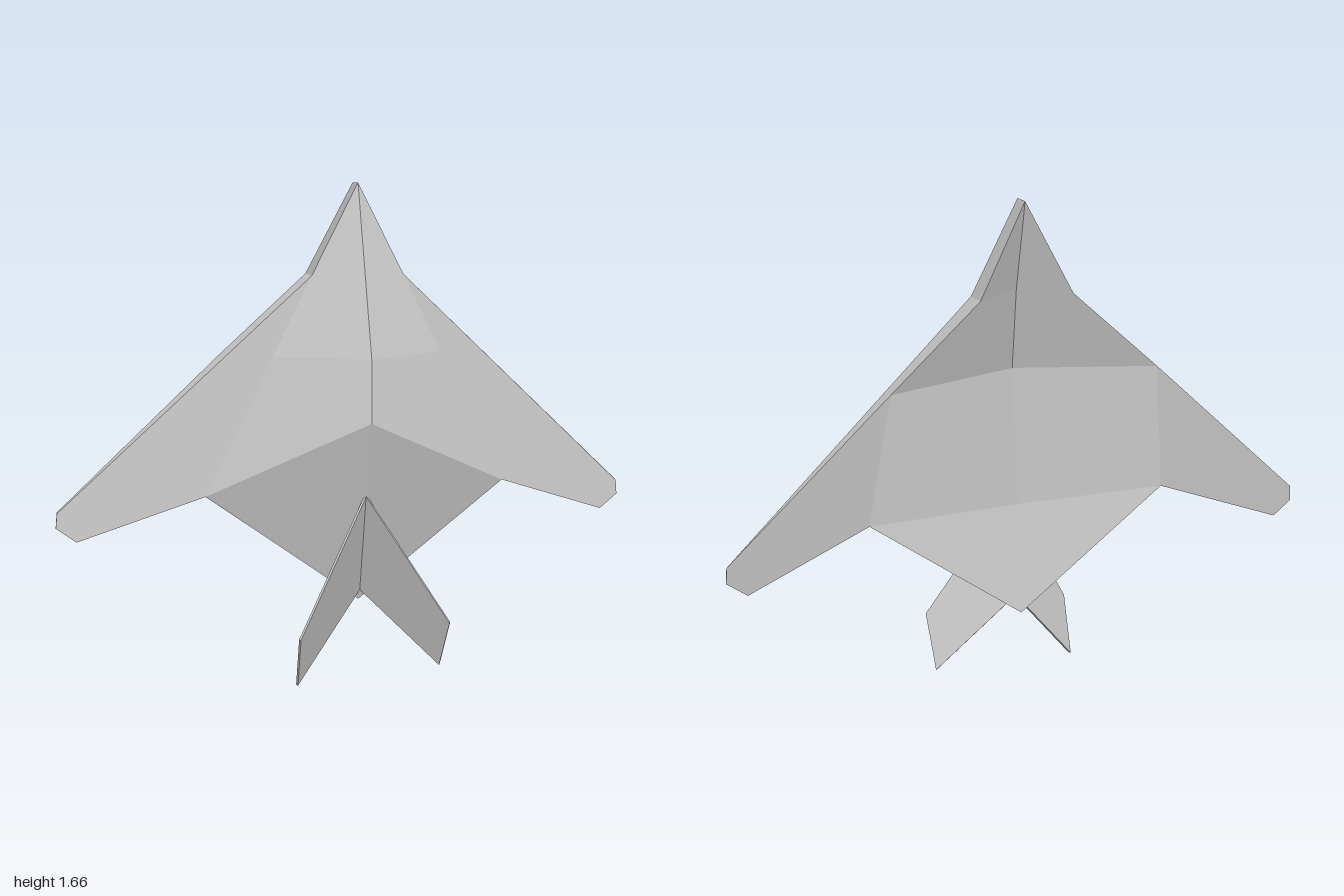
import * as THREE from 'three';

// Thin-edged shell, so both sides are drawn
const material = new THREE.MeshStandardMaterial({ color: 0xcccccc, side: THREE.DoubleSide });

// Faceted mesh from faces that list point names: a triangle fan with one normal per face
function facetMesh(name, points, faces, mirrored) {
  const pos = [], nor = [];
  const addFace = corners => {
    const normal = new THREE.Vector3();
    corners.forEach((p, i) => normal.add(p.clone().cross(corners[(i + 1) % corners.length])));
    normal.normalize();
    for (let i = 1; i < corners.length - 1; i++) {
      for (const p of [corners[0], corners[i], corners[i + 1]]) {
        pos.push(p.x, p.y, p.z);
        nor.push(normal.x, normal.y, normal.z);
      }
    }
  };
  for (const face of faces) {
    const corners = face.split(' ').map(k => new THREE.Vector3(...points[k]));
    addFace(corners);
    if (mirrored) {
      const [first, ...rest] = corners.map(p => new THREE.Vector3(-p.x, p.y, p.z));
      addFace([first, ...rest.reverse()]);
    }
  }
  const geometry = new THREE.BufferGeometry();
  geometry.setAttribute('position', new THREE.Float32BufferAttribute(pos, 3));
  geometry.setAttribute('normal', new THREE.Float32BufferAttribute(nor, 3));
  const mesh = new THREE.Mesh(geometry, material);
  mesh.name = name;
  return mesh;
}

// Left half of the hull; names ending in B lie on the hollow back
const P = {
  nose: [0, 1.663, -0.045], noseB: [0, 1.663, -0.109],
  ridgeTop: [0, 1.1, 0.115], ridgeLow: [0, 0.89, 0.115],
  shoulder: [0.157, 1.363, -0.045], shoulderB: [0.157, 1.365, -0.132],
  fold: [0.29, 1.1, -0.047], leadB: [0.457, 1.097, -0.14],
  kink: [0.52, 0.645, -0.05], kinkB: [0.52, 0.645, -0.074],
  tip: [0.995, 0.6, -0.134], tipB: [0.995, 0.603, -0.14],
  tipLow: [1, 0.55, -0.135], tipLowB: [1, 0.55, -0.14],
  tipEnd: [0.935, 0.5, -0.133], tipEndB: [0.935, 0.5, -0.14],
  tail: [0, 0.26, -0.045], tailB: [0, 0.26, -0.085],
  neckB: [0, 1.37, -0.036], spineB: [0, 1.1, 0], rumpB: [0, 0.64, -0.046],
};

const bodyFaces = [
  // ridged front
  'ridgeTop fold shoulder nose', 'ridgeLow kink fold ridgeTop', 'ridgeLow tail kink',
  // hollow back
  'noseB shoulderB neckB', 'neckB shoulderB leadB spineB',
  'spineB leadB kinkB rumpB', 'rumpB kinkB tailB',
  // edges at nose and tail
  'nose shoulder shoulderB noseB', 'kink tail tailB kinkB',
];

const wingFaces = [
  // front and back skins
  'fold kink tipEnd tipLow tip shoulder',
  'leadB tipB tipLowB tipEndB kinkB',
  // leading edge, tip and trailing edge
  'shoulder tip tipB leadB shoulderB', 'tip tipLow tipLowB tipB',
  'tipLow tipEnd tipEndB tipLowB', 'tipEnd kink kinkB tipEndB',
];

// Thin four-cornered plate, thickened along its normal
function fin(name, corners) {
  const v = corners.map(c => new THREE.Vector3(...c));
  const n = v[2].clone().sub(v[0]).cross(v[3].clone().sub(v[1])).normalize().multiplyScalar(0.004);
  const pts = {};
  v.forEach((p, i) => {
    pts['a' + i] = p.clone().add(n).toArray();
    pts['b' + i] = p.clone().sub(n).toArray();
  });
  const faces = ['a0 a1 a2 a3', 'b3 b2 b1 b0'];
  for (let i = 0; i < 4; i++) {
    const j = (i + 1) % 4;
    faces.push(`a${j} a${i} b${i} b${j}`);
  }
  return facetMesh(name, pts, faces, false);
}

export function createModel() {
  const model = new THREE.Group();
  model.name = 'glider';
  model.add(facetMesh('body', P, bodyFaces, true));
  model.add(facetMesh('wings', P, wingFaces, true));

  // V-shaped tail fins
  const apex = [0, 0.64, 0.047], root = [0, 0.3, -0.03];
  model.add(fin('leftTailFin', [apex, root, [0.264, 0.03, 0.045], [0.268, 0.205, 0.137]]));
  model.add(fin('rightTailFin', [apex, [-0.25, 0.19, 0.137], [-0.239, 0.004, 0.045], root]));
  return model;
}
